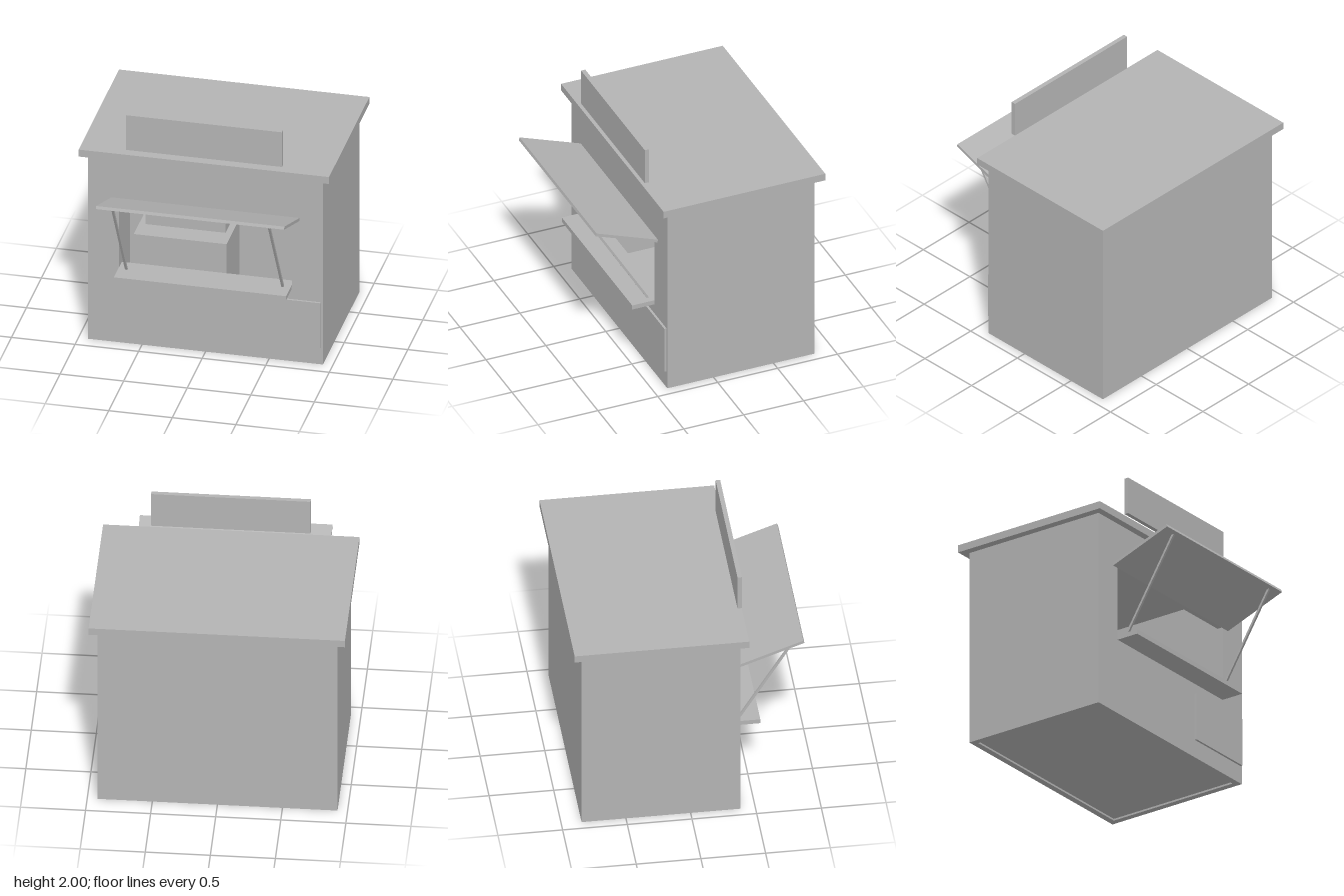
import * as THREE from 'three';

export function createModel() {
  const model = new THREE.Group();
  model.name = 'foodKiosk';
  const grey = new THREE.MeshStandardMaterial({ color: 0xb3b3b3 });
  grey.name = 'plain grey';

  function add(name, geometry, parent = model) {
    const mesh = new THREE.Mesh(geometry, grey);
    mesh.name = name;
    parent.add(mesh);
    return mesh;
  }

  // Box given by its limits on each axis
  function box(name, [x0, x1], [y0, y1], [z0, z1], parent) {
    const mesh = add(name, new THREE.BoxGeometry(x1 - x0, y1 - y0, z1 - z0), parent);
    mesh.position.set((x0 + x1) / 2, (y0 + y1) / 2, (z0 + z1) / 2);
    return mesh;
  }

  // Slab running between two points of the side plane, given as [y, z]
  function slantedBox(name, x, width, thickness, [y0, z0], [y1, z1]) {
    const length = Math.hypot(y1 - y0, z1 - z0);
    const mesh = add(name, new THREE.BoxGeometry(width, thickness, length));
    mesh.position.set(x, (y0 + y1) / 2, (z0 + z1) / 2);
    mesh.rotation.x = -Math.atan2(y1 - y0, z1 - z0);
    return mesh;
  }

  const W = 0.923, FRONT = 0.387, BACK = -0.843, H = 1.6, T = 0.05;

  // Hollow cabin
  const cabin = new THREE.Group();
  cabin.name = 'cabin';
  model.add(cabin);
  box('backWall', [-W, W], [0, H], [BACK, BACK + T], cabin);
  for (const s of [-1, 1]) {
    const edges = [s * W, s * (W - T)].sort((a, b) => a - b);
    box(s > 0 ? 'leftWall' : 'rightWall', edges, [0, H], [BACK + T, FRONT - T], cabin);
  }
  box('floor', [-W + T, W - T], [0.015, 0.05], [BACK + T, FRONT - T], cabin);

  // Front wall with the serving window cut out
  const wall = new THREE.Shape([[-W, 0], [W, 0], [W, H], [-W, H]].map(p => new THREE.Vector2(...p)));
  wall.holes.push(new THREE.Path(
    [[-0.68, 0.645], [-0.68, 1.235], [0.68, 1.235], [0.68, 0.645]].map(p => new THREE.Vector2(...p))));
  add('frontWall', new THREE.ExtrudeGeometry(wall, { depth: T, bevelEnabled: false }), cabin)
    .position.z = FRONT - T;

  // Roof and sign board
  box('roof', [-0.985, 0.985], [1.6, 1.66], [-0.905, 0.445]);
  box('signBoard', [-0.613, 0.613], [1.7, 2], [0.405, 0.44]);

  // Serving shelf and lower front panel
  box('servingShelf', [-0.677, 0.677], [0.62, 0.657], [0.31, 0.573]);
  box('frontPanel', [0.317, 0.908], [0.147, 0.537], [FRONT, 0.405]);

  // Raised hatch and its struts
  slantedBox('hatch', 0, 1.48, 0.024, [1.234, FRONT], [1.422, 0.901]);
  for (const s of [-1, 1]) {
    slantedBox(s > 0 ? 'leftStrut' : 'rightStrut', s * 0.615, 0.018, 0.018, [0.65, 0.415], [1.4, 0.872]);
  }

  // Kitchen equipment inside
  box('counter', [-0.74, -0.01], [0.05, 0.545], [-0.79, -0.36]);
  box('grill', [-0.69, -0.06], [0.545, 0.775], [-0.76, -0.54]);
  box('fridge', [0.24, 0.82], [0.05, 0.865], [-0.79, -0.32]);

  return model;
}
